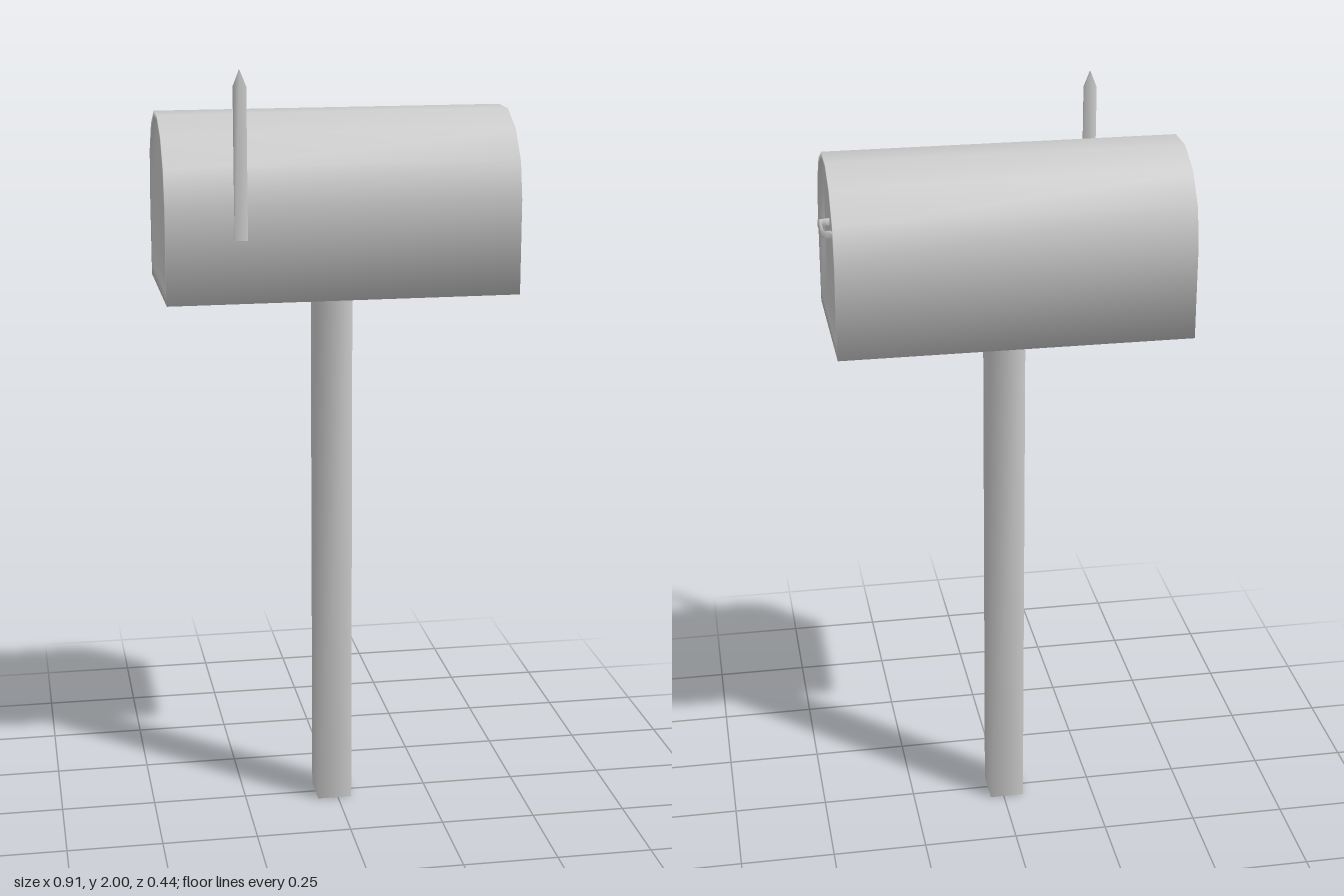
import * as THREE from 'three';
import { mergeVertices } from 'three/addons/utils/BufferGeometryUtils.js';

const material = new THREE.MeshStandardMaterial({ color: 0xcccccc });

// Weld corners so shading runs smoothly over every edge
function smooth(geometry) {
  geometry.deleteAttribute('normal');
  geometry.deleteAttribute('uv');
  const welded = mergeVertices(geometry, 1e-4);
  welded.computeVertexNormals();
  return welded;
}

function addPart(group, name, geometry) {
  const mesh = new THREE.Mesh(smooth(geometry), material);
  mesh.name = name;
  group.add(mesh);
  return mesh;
}

// Extruded polygon, centred on its thickness
function plate(points, thickness) {
  const shape = new THREE.Shape(points.map(([x, y]) => new THREE.Vector2(x, y)));
  return new THREE.ExtrudeGeometry(shape, { depth: thickness, bevelEnabled: false })
    .translate(0, 0, -thickness / 2);
}

// Arched cross-section [z, y], from the +z bottom corner over to the -z one
function archProfile(halfWidth, bottom, spring, top) {
  const points = [[halfWidth, bottom]];
  const steps = 7;
  const rise = (top - spring) / Math.sin((Math.PI * 3) / steps);
  for (let i = 0; i <= steps; i++) {
    const a = (i / steps) * Math.PI;
    points.push([halfWidth * Math.cos(a), spring + rise * Math.sin(a)]);
  }
  points.push([-halfWidth, bottom]);
  return points;
}

// Closed loft along x through [x, profile] rings, capped at both ends
function loft(rings) {
  const n = rings[0][1].length;
  const positions = [];
  const index = [];
  for (const [x, profile] of rings) {
    for (const [z, y] of profile) positions.push(x, y, z);
  }
  for (let r = 0; r < rings.length - 1; r++) {
    for (let i = 0; i < n; i++) {
      const j = (i + 1) % n;
      const a = r * n + i, b = a + n, c = (r + 1) * n + j, d = r * n + j;
      index.push(a, b, c, a, c, d);
    }
  }
  const last = (rings.length - 1) * n;
  for (let i = 1; i < n - 1; i++) {
    index.push(0, i, i + 1, last, last + i + 1, last + i);
  }
  const geometry = new THREE.BufferGeometry();
  geometry.setAttribute('position', new THREE.Float32BufferAttribute(positions, 3));
  geometry.setIndex(index);
  return geometry;
}

export function createModel() {
  const group = new THREE.Group();
  group.name = 'mailbox';

  // Arched box with a thin rim and a shallow recessed panel at each end
  const x0 = -0.455, x1 = 0.44, recess = 0.015;
  const outer = archProfile(0.213, 1.425, 1.667, 1.875);
  const inner = archProfile(0.191, 1.455, 1.667, 1.86);
  const box = addPart(group, 'mailboxBody', loft([
    [x0 + recess, inner], [x0, inner], [x0, outer],
    [x1, outer], [x1, inner], [x1 - recess, inner],
  ]));
  box.position.z = -0.007;

  // Square post
  const post = addPart(group, 'post', new THREE.BoxGeometry(0.092, 1.43, 0.104));
  post.position.set(-0.009, 0.715, -0.002);

  // Pointed signal flag on the front side
  const flag = addPart(group, 'signalFlag', plate([
    [-0.016, 1.585], [0.016, 1.585], [0.016, 1.96], [0, 2], [-0.016, 1.96],
  ], 0.012));
  flag.position.set(-0.269, 0, 0.21);

  // Bracket-shaped door handle
  const handle = addPart(group, 'doorHandle', plate([
    [0.422, -0.053], [0.441, -0.053], [0.455, -0.045], [0.455, 0.045],
    [0.441, 0.053], [0.422, 0.053], [0.422, 0.046], [0.439, 0.046],
    [0.448, 0.04], [0.448, -0.04], [0.439, -0.046], [0.422, -0.046],
  ], 0.018).rotateX(Math.PI / 2));
  handle.position.set(0, 1.692, -0.002);

  return group;
}
